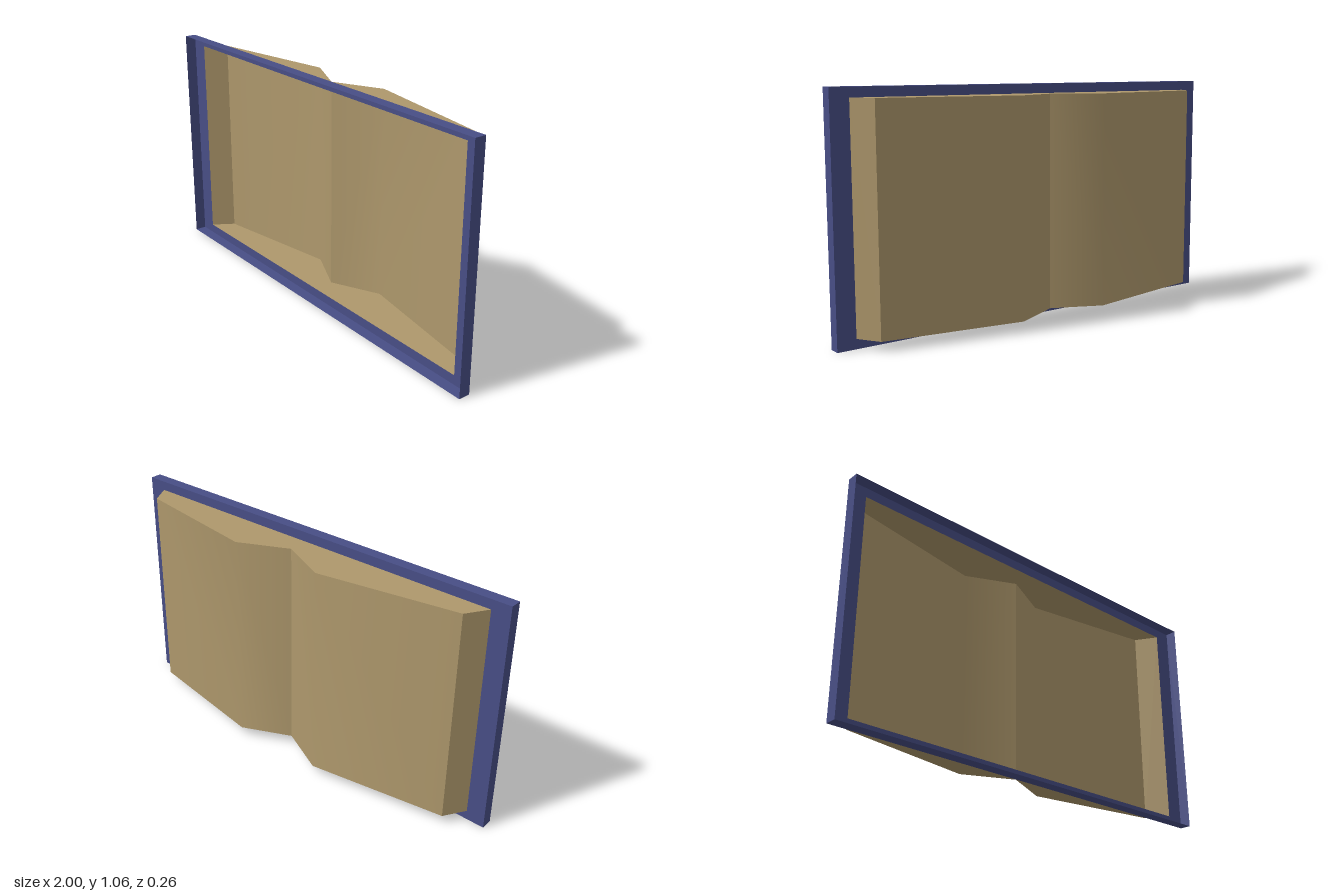
import * as THREE from 'three';
import { toCreasedNormals } from 'three/addons/utils/BufferGeometryUtils.js';

const W = 2, H = 1.057;            // cover size
const Z_FRONT = 0.128, Z_BACK = 0.075;
const Y0 = 0.043, Y1 = 1.014;      // bottom and top of the pages
// page outline as [x, z], from -x to +x
const half = [[0.225, -0.128], [0.855, -0.023], [0.915, Z_BACK]];
const outline = [...half.map(([x, z]) => [-x, z]).reverse(), [0, -0.021], ...half];

export function createModel() {
  const coverBlue = new THREE.MeshStandardMaterial({ color: 0x484e86, side: THREE.DoubleSide });
  coverBlue.name = 'coverBlue';
  const paperTan = new THREE.MeshStandardMaterial({ color: 0xae986c, side: THREE.DoubleSide });
  paperTan.name = 'paperTan';

  const model = new THREE.Group();
  model.name = 'openBook';
  const cover = new THREE.Group();
  cover.name = 'cover';
  const pages = new THREE.Group();
  pages.name = 'pages';
  model.add(cover, pages);

  const add = (group, name, geometry, material) => {
    const mesh = new THREE.Mesh(geometry, material);
    mesh.name = name;
    group.add(mesh);
    return mesh;
  };
  const rectangle = (Type, x, y0, y1) => new Type(
    [[-x, y0], [x, y0], [x, y1], [-x, y1]].map(([a, b]) => new THREE.Vector2(a, b)));

  // cover: a shallow tray, open at the front, with an opening into the pages
  const panel = rectangle(THREE.Shape, W / 2, 0, H);
  panel.holes.push(rectangle(THREE.Path, 0.915, Y0, Y1));
  add(cover, 'coverPanel', new THREE.ShapeGeometry(panel).rotateY(Math.PI), coverBlue).position.z = Z_BACK;

  const depth = Z_FRONT - Z_BACK, zMid = (Z_FRONT + Z_BACK) / 2;
  for (const s of [1, -1]) {
    add(cover, s > 0 ? 'coverLeftEdge' : 'coverRightEdge',
      new THREE.PlaneGeometry(depth, H).rotateY(s * Math.PI / 2), coverBlue)
      .position.set(s * W / 2, H / 2, zMid);
    add(cover, s > 0 ? 'coverTopEdge' : 'coverBottomEdge',
      new THREE.PlaneGeometry(W, depth).rotateX(-s * Math.PI / 2), coverBlue)
      .position.set(0, s > 0 ? H : 0, zMid);
  }

  // page surface: the outline swept up, soft over the humps and sharp at the gutter
  const verts = [];
  for (let i = 0; i < outline.length - 1; i++) {
    const [ax, az] = outline[i], [bx, bz] = outline[i + 1];
    verts.push(ax, Y0, az, ax, Y1, az, bx, Y1, bz);
    verts.push(ax, Y0, az, bx, Y1, bz, bx, Y0, bz);
  }
  const surface = new THREE.BufferGeometry();
  surface.setAttribute('position', new THREE.Float32BufferAttribute(verts, 3));
  add(pages, 'pageSurface', toCreasedNormals(surface, 0.73), paperTan);

  // top and bottom ends of the page block
  for (const s of [1, -1]) {
    const end = new THREE.Shape(outline.map(([x, z]) => new THREE.Vector2(x, -s * z)));
    add(pages, s > 0 ? 'pageTop' : 'pageBottom',
      new THREE.ShapeGeometry(end).rotateX(-s * Math.PI / 2), paperTan)
      .position.y = s > 0 ? Y1 : Y0;
  }
  return model;
}
